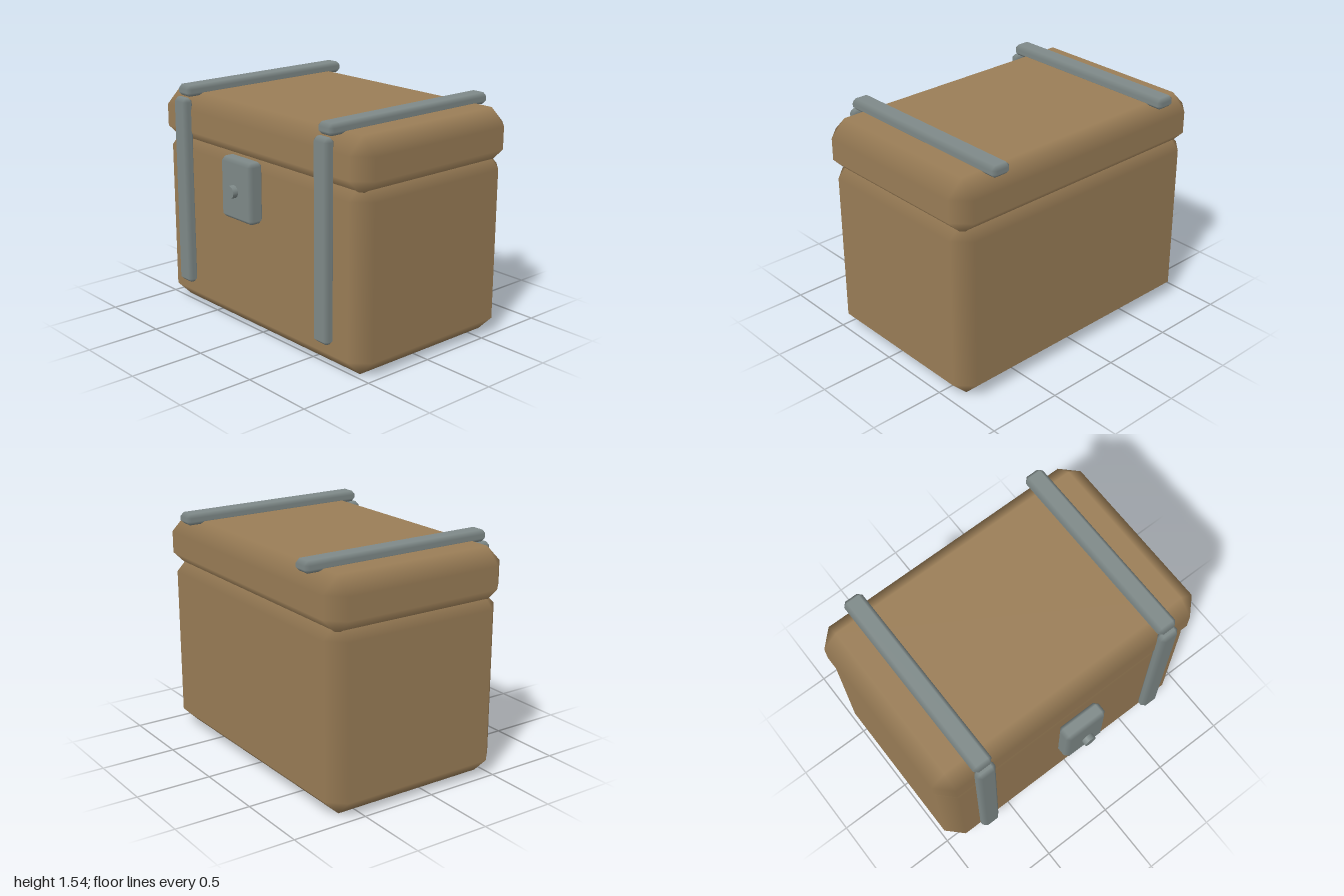
import * as THREE from 'three';
import { ConvexGeometry } from 'three/addons/geometries/ConvexGeometry.js';

// Box with one 45 degree chamfer; flat faces keep axis normals so the chamfers blend softly
function chamferBox(w, h, d, c) {
  const half = [w / 2, h / 2, d / 2];
  const points = [];
  for (const sx of [-1, 1]) for (const sy of [-1, 1]) for (const sz of [-1, 1]) {
    const signs = [sx, sy, sz];
    for (let axis = 0; axis < 3; axis++) {
      const p = signs.map((s, i) => s * (half[i] - (i === axis ? 0 : c)));
      points.push(new THREE.Vector3(...p));
    }
  }
  const geo = new ConvexGeometry(points);
  const pos = geo.attributes.position;
  for (let i = 0; i < pos.count; i++) {
    const p = [pos.getX(i), pos.getY(i), pos.getZ(i)];
    const n = p.map((v, k) => (Math.abs(v) > half[k] - c / 2 ? Math.sign(v) : 0));
    geo.attributes.normal.setXYZ(i, ...n);
  }
  return geo;
}

export function createModel() {
  const group = new THREE.Group();
  const wood = new THREE.MeshStandardMaterial({ color: 0x9b7e57 });
  wood.name = 'wood';
  const metal = new THREE.MeshStandardMaterial({ color: 0x7f8a89 });
  metal.name = 'metal';

  // Adds a chamfered box given its [min, max] range on each axis
  const addBox = (name, material, x, y, z, c) => {
    const mesh = new THREE.Mesh(chamferBox(x[1] - x[0], y[1] - y[0], z[1] - z[0], c), material);
    mesh.position.set((x[0] + x[1]) / 2, (y[0] + y[1]) / 2, (z[0] + z[1]) / 2);
    mesh.name = name;
    group.add(mesh);
  };

  // Wooden chest
  addBox('body', wood, [-0.982, 0.982], [0, 1.21], [-0.715, 0.558], 0.105);
  addBox('lid', wood, [-1, 1], [1.13, 1.485], [-0.73, 0.574], 0.105);

  // Metal straps, a pair on each side
  for (const [side, s] of [['left', 1], ['right', -1]]) {
    const x = [s * 0.695 - 0.067, s * 0.695 + 0.067];
    addBox(side + 'FrontStrap', metal, x, [0.185, 1.46], [0.55, 0.625], 0.025);
    addBox(side + 'TopStrap', metal, x, [1.466, 1.54], [-0.747, 0.59], 0.025);
  }

  // Latch plate and its knob
  addBox('latchPlate', metal, [-0.152, 0.152], [0.805, 1.198], [0.595, 0.703], 0.025);
  const knob = new THREE.Mesh(new THREE.CylinderGeometry(0.041, 0.041, 0.036, 16), metal);
  knob.rotation.x = Math.PI / 2;
  knob.position.set(0, 1, 0.729);
  knob.name = 'latchKnob';
  group.add(knob);

  return group;
}
